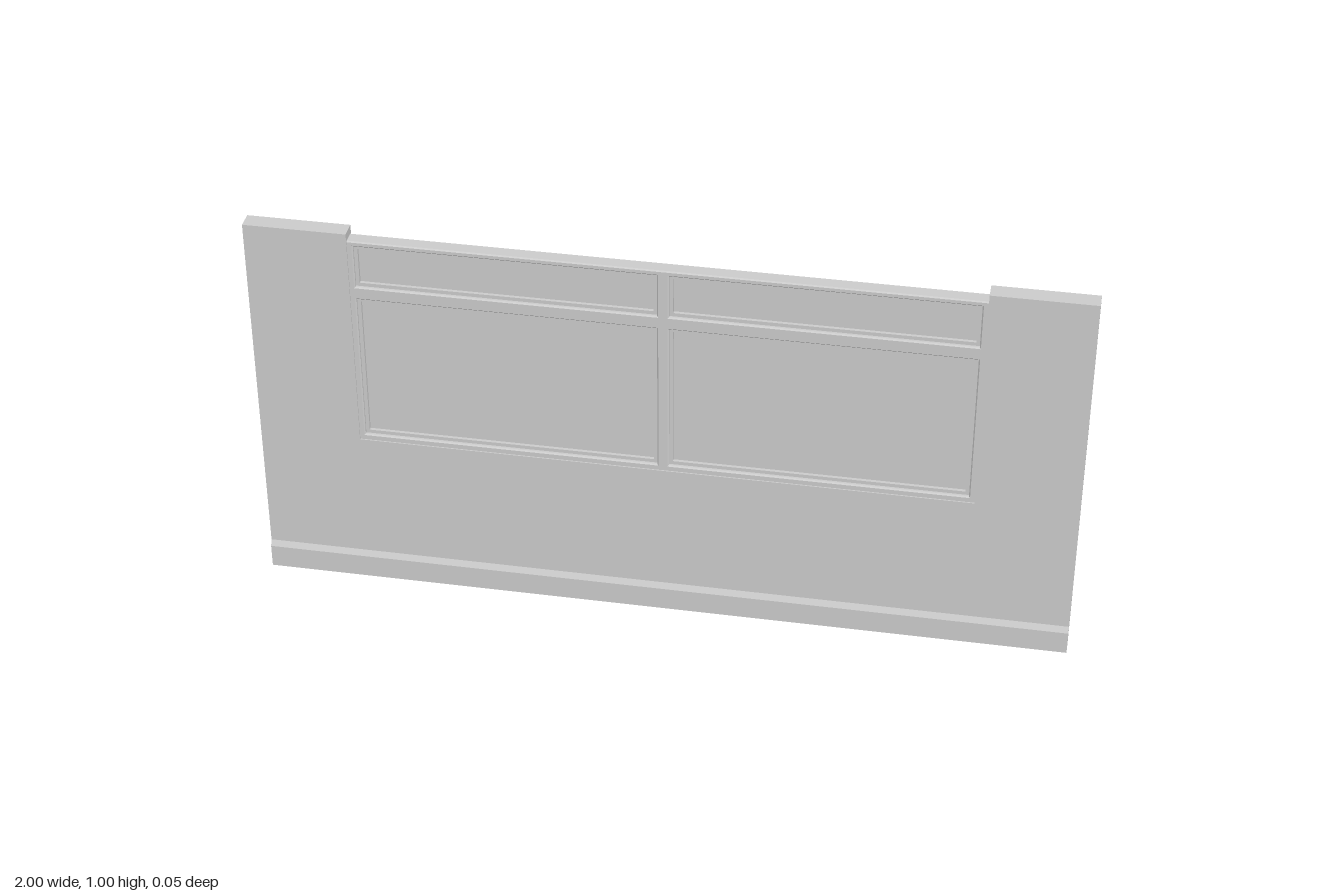
import * as THREE from 'three';

const material = new THREE.MeshStandardMaterial({ color: 0xcccccc, flatShading: true });

const polygon = (points) => new THREE.Shape(points.map(([x, y]) => new THREE.Vector2(x, y)));
const rect = (x0, x1, y0, y1) => polygon([[x0, y0], [x1, y0], [x1, y1], [x0, y1]]);

// Extrudes a shape between two z values, with an optional small chamfer
function slab(name, shape, z0, z1, chamfer = 0) {
  const geometry = new THREE.ExtrudeGeometry(shape, {
    depth: z1 - z0 - 2 * chamfer,
    bevelEnabled: chamfer > 0,
    bevelThickness: chamfer,
    bevelSize: chamfer,
    bevelOffset: -chamfer,
    bevelSegments: 1,
  });
  geometry.translate(0, 0, z0 + chamfer);
  const mesh = new THREE.Mesh(geometry, material);
  mesh.name = name;
  return mesh;
}

export function createModel() {
  const model = new THREE.Group();
  model.name = 'windowWall';
  const back = -0.026, front = 0.018;
  const sill = 0.415, notch = 0.75;

  // Wall panel with the window notch open at the top
  model.add(slab('wall', polygon([
    [-1, 0], [1, 0], [1, 1], [notch, 1], [notch, sill],
    [-notch, sill], [-notch, 1], [-1, 1],
  ]), back, front));

  // Skirting along the foot of the front, with a sloped top edge
  const skirting = slab('skirting', polygon([
    [-front, 0], [-front, 0.075], [-0.026, 0.06], [-0.026, 0],
  ]), -1, 1);
  skirting.rotation.y = Math.PI / 2;
  model.add(skirting);

  // Four openings: two large lights below, two narrow lights above
  const openings = [];
  for (const [x0, x1] of [[-0.736, -0.014], [0.014, 0.736]]) {
    for (const [y0, y1] of [[0.43, 0.82], [0.854, 0.966]]) openings.push([x0, x1, y0, y1]);
  }

  // Window frame with chamfered edges, set just inside the wall faces
  const frame = rect(-notch - 0.004, notch + 0.004, sill - 0.004, 0.98);
  for (const o of openings) frame.holes.push(rect(...o));
  model.add(slab('windowFrame', frame, -0.022, 0.015, 0.003));

  // Stepped inner sash and glass in every opening
  const step = 0.009;
  for (const [x0, x1, y0, y1] of openings) {
    const sash = rect(x0, x1, y0, y1);
    sash.holes.push(rect(x0 + step, x1 - step, y0 + step, y1 - step));
    model.add(slab('sash', sash, -0.014, 0.007));
    model.add(slab('glass', rect(x0 + step, x1 - step, y0 + step, y1 - step), -0.006, -0.001));
  }
  return model;
}
